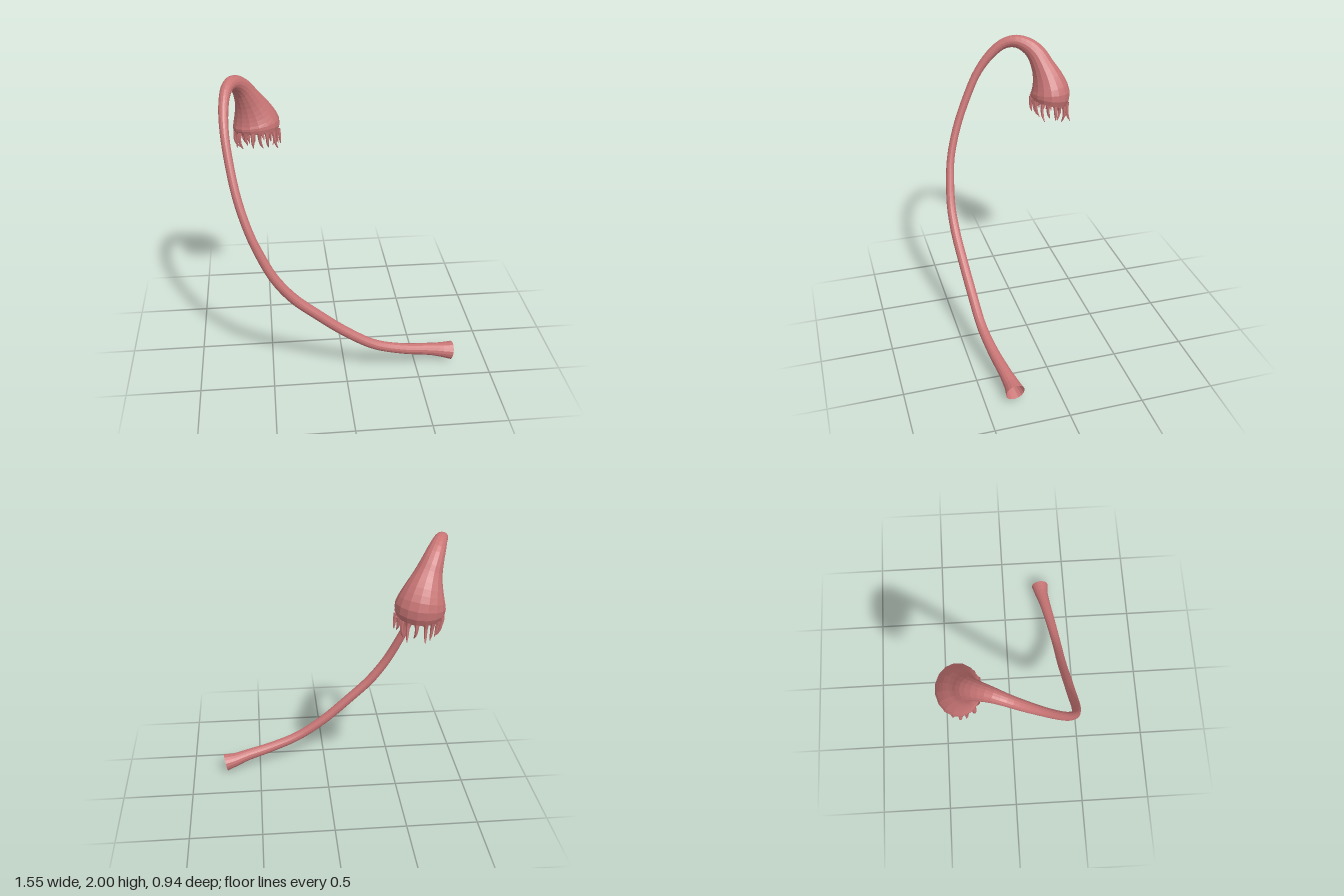
import * as THREE from 'three';

const material = new THREE.MeshStandardMaterial({
  color: 0xc97575, flatShading: true, side: THREE.DoubleSide,
});

// Sweeps a ring along a curve; each row is [x, y, z, radius, depth ratio in z].
function sweep(rows, rings, sides) {
  const path = new THREE.CatmullRomCurve3(rows.map(([x, y, z]) => new THREE.Vector3(x, y, z)));
  const size = new THREE.CatmullRomCurve3(
    rows.map(([, , , r, d = 1]) => new THREE.Vector3(r, d, 0)), false, 'catmullrom');
  const geometry = new THREE.TubeGeometry(path, rings, 1, sides);
  const pos = geometry.attributes.position;
  const v = new THREE.Vector3();
  for (let ring = 0; ring <= rings; ring++) {
    const u = ring / rings;
    const center = path.getPointAt(u);
    const s = size.getPoint(path.getUtoTmapping(u));
    for (let j = 0; j <= sides; j++) {
      const i = ring * (sides + 1) + j;
      v.fromBufferAttribute(pos, i).sub(center).multiplyScalar(s.x);
      v.z *= s.y;
      v.add(center);
      pos.setXYZ(i, v.x, v.y, v.z);
    }
  }
  geometry.computeVertexNormals();
  return geometry;
}

function seeded(seed) {
  return () => {
    seed = (seed * 16807) % 2147483647;
    return seed / 2147483647;
  };
}

export function createModel() {
  const group = new THREE.Group();
  const add = (name, geometry, parent = group) => {
    const mesh = new THREE.Mesh(geometry, material);
    mesh.name = name;
    parent.add(mesh);
  };

  // Flared foot, long curved stalk, hooked neck and swollen open capsule
  add('stalkAndCapsule', sweep([
    [0.762, 0.066, 0.300, 0.065],
    [0.70, 0.078, 0.306, 0.053],
    [0.60, 0.105, 0.325, 0.043],
    [0.40, 0.150, 0.360, 0.037],
    [0.20, 0.220, 0.387, 0.034],
    [0.00, 0.350, 0.402, 0.034],
    [-0.20, 0.520, 0.420, 0.034],
    [-0.35, 0.660, 0.432, 0.034],
    [-0.47, 0.820, 0.435, 0.032],
    [-0.56, 1.000, 0.418, 0.030],
    [-0.62, 1.150, 0.393, 0.028],
    [-0.68, 1.350, 0.330, 0.028],
    [-0.718, 1.550, 0.245, 0.028],
    [-0.740, 1.740, 0.147, 0.029],
    [-0.738, 1.870, 0.042, 0.033],
    [-0.720, 1.940, -0.050, 0.037],
    [-0.690, 1.955, -0.130, 0.045],
    [-0.655, 1.925, -0.205, 0.057],
    [-0.622, 1.870, -0.258, 0.070, 0.98],
    [-0.590, 1.790, -0.293, 0.092, 0.88],
    [-0.562, 1.700, -0.322, 0.128, 0.86],
    [-0.545, 1.620, -0.335, 0.158, 0.86],
    [-0.540, 1.575, -0.333, 0.160, 0.86],
    [-0.538, 1.540, -0.327, 0.146, 0.87],
  ], 96, 16));

  // Fringe of thin, uneven curled teeth hanging from the rim
  const fringe = new THREE.Group();
  fringe.name = 'fringe';
  group.add(fringe);
  const random = seeded(71);
  const count = 18;
  for (let i = 0; i < count; i++) {
    const a = ((i + 0.3 * random()) / count) * Math.PI * 2;
    const c = Math.cos(a), s = Math.sin(a);
    const x = -0.538 + 0.144 * c, z = -0.327 + 0.126 * s;
    const y = 1.553 + 0.2 * (z + 0.327);
    const length = 0.09 + 0.04 * random();
    const bendX = 0.05 * (random() - 0.4), bendZ = 0.05 * (random() - 0.6);
    const out = 0.016 * (random() - 0.4);
    add('tooth', sweep([
      [x, y, z, 0.017],
      [x + out * c, y - length * 0.3, z + out * s, 0.012],
      [x + out * c + bendX * 0.3, y - length * 0.7, z + out * s + bendZ * 0.3, 0.009],
      [x + bendX, y - length, z + bendZ, 0.002],
    ], 7, 6), fringe);
  }
  return group;
}
